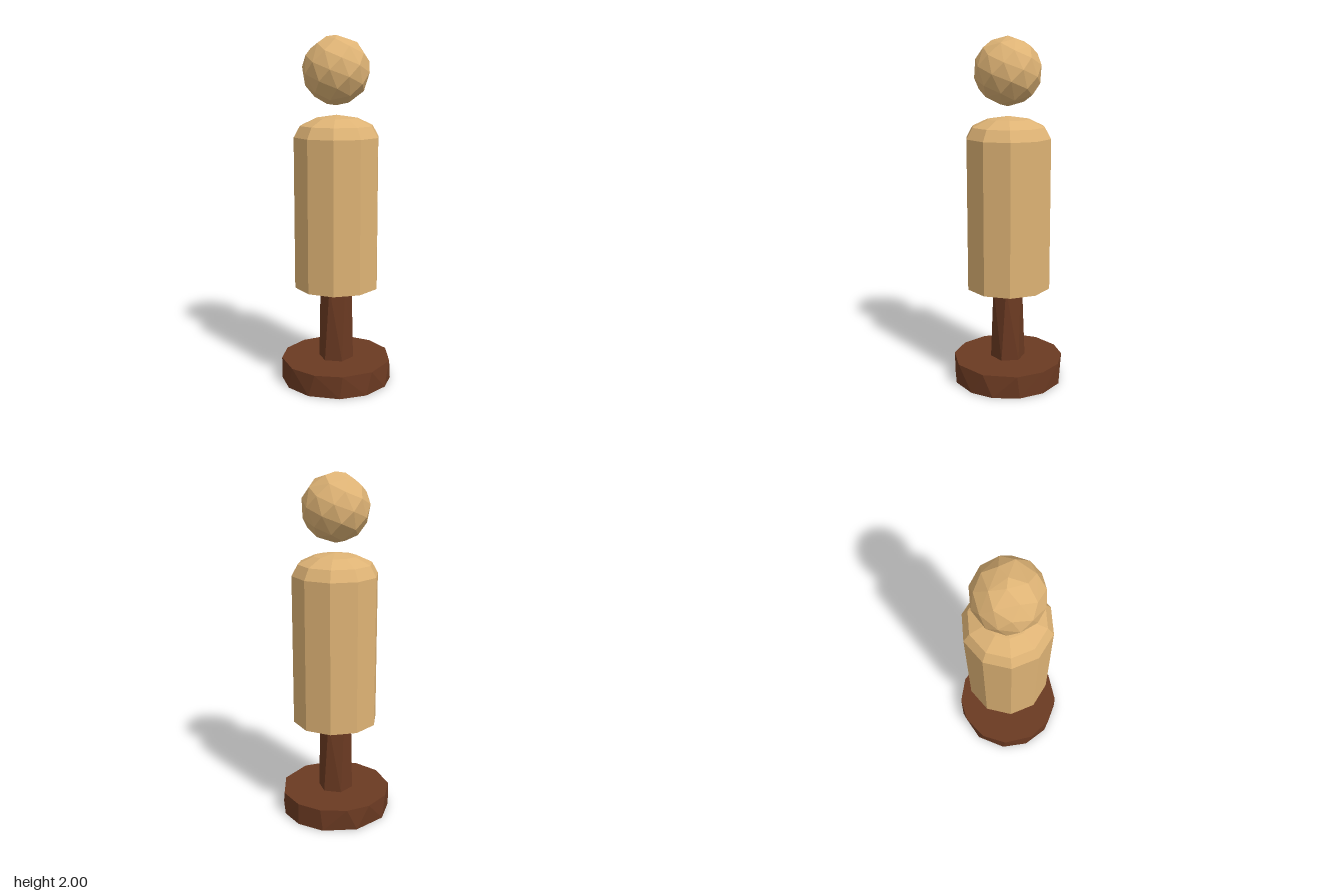
import * as THREE from 'three';
import { ConvexGeometry } from 'three/addons/geometries/ConvexGeometry.js';

const lightWood = new THREE.MeshStandardMaterial({ color: 0xdeb375, flatShading: true });
const darkWood = new THREE.MeshStandardMaterial({ color: 0x6b3a22, flatShading: true });

// Horizontal ring of points; angles in degrees, measured from +z towards +x.
function ring(angles, radius, y) {
  return angles.map((deg) => {
    const a = THREE.MathUtils.degToRad(deg);
    return new THREE.Vector3(Math.sin(a) * radius, y, Math.cos(a) * radius);
  });
}

function addPart(group, name, geometry, material) {
  const mesh = new THREE.Mesh(geometry, material);
  mesh.name = name;
  group.add(mesh);
  return mesh;
}

export function createModel() {
  const group = new THREE.Group();
  group.name = 'pegFigure';

  // Base: hand-cut disc whose uneven lower outline mirrors the upper one
  const cuts = [180, 151, 115.3, 79, 46.5, 18, -11, -44, -72, -101, -126, -153.7];
  addPart(group, 'base', new ConvexGeometry([
    ...ring(cuts, 0.323, 0.13),
    ...ring(cuts.map((a) => -a), 0.323, 0),
  ]), darkWood);

  // Stem: tapered six-sided post with a slight twist
  const hex = [0, 60, 120, 180, 240, 300];
  addPart(group, 'stem', new ConvexGeometry([
    ...ring(hex, 0.102, 0.13),
    ...ring(hex.map((a) => a + 15), 0.092, 0.57),
  ]), darkWood);

  // Body: ten-sided column with a shallow domed shoulder
  const profile = [
    [0, 0.57], [0.247, 0.57], [0.247, 1.44], [0.212, 1.503], [0.122, 1.545], [0, 1.563],
  ].map(([r, y]) => new THREE.Vector2(r, y));
  const body = addPart(group, 'body', new THREE.LatheGeometry(profile, 10), lightWood);
  body.position.z = -0.004;

  // Head: faceted ball, points spread along a spiral from pole to pole
  const count = 50;
  const golden = Math.PI * (3 - Math.sqrt(5));
  const points = [];
  for (let i = 0; i < count; i++) {
    const y = 1 - (2 * i) / (count - 1);
    const r = Math.sqrt(Math.max(0, 1 - y * y));
    points.push(new THREE.Vector3(Math.cos(i * golden) * r, y, Math.sin(i * golden) * r)
      .multiplyScalar(0.192));
  }
  const head = addPart(group, 'head', new ConvexGeometry(points), lightWood);
  head.position.y = 1.808;

  return group;
}
